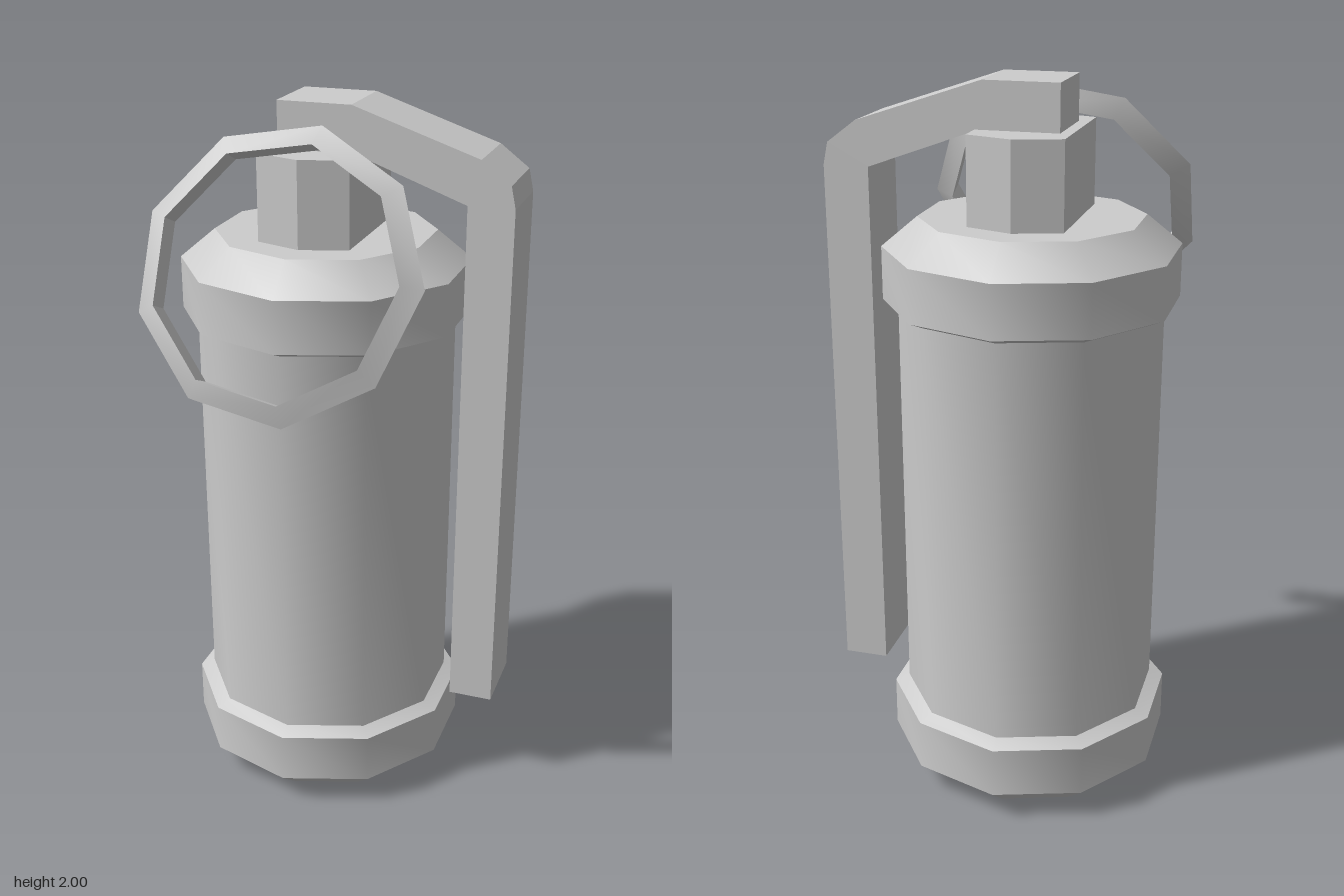
import * as THREE from 'three';
import { toCreasedNormals } from 'three/addons/utils/BufferGeometryUtils.js';

const CX = -0.083, CZ = -0.067; // canister axis
const CREASE = THREE.MathUtils.degToRad(37);

function polygon(points) {
  return new THREE.Shape(points.map(([x, y]) => new THREE.Vector2(x, y)));
}

function extrude(points, depth) {
  return new THREE.ExtrudeGeometry(polygon(points), { depth, bevelEnabled: false });
}

export function createModel() {
  const group = new THREE.Group();
  const grey = new THREE.MeshStandardMaterial({ color: 0xcccccc });
  grey.name = 'light grey metal';

  function add(name, geometry, x, y, z) {
    const mesh = new THREE.Mesh(geometry, grey);
    mesh.name = name;
    mesh.position.set(x, y, z);
    group.add(mesh);
    return mesh;
  }

  // Ten-sided canister with chamfered end collars
  const profile = [
    [0, 0], [0.308, 0], [0.403, 0.08], [0.403, 0.225], [0.362, 0.243],
    [0.362, 1.397], [0.403, 1.415], [0.403, 1.56], [0.306, 1.64], [0, 1.64],
  ].map(([r, y]) => new THREE.Vector2(r, y));
  add('canister', toCreasedNormals(new THREE.LatheGeometry(profile, 10), CREASE), CX, 0, CZ);

  // Fuse neck: a stretched hexagonal block
  const neck = extrude([
    [0, -0.217], [0.128, -0.177], [0.128, 0.177],
    [0, 0.217], [-0.128, 0.177], [-0.128, -0.177],
  ], 0.235);
  neck.rotateX(-Math.PI / 2);
  add('fuseNeck', neck, CX, 1.64, CZ);

  // Safety lever bent over the neck and down the side
  const lever = extrude([
    [-0.18, 1.875], [0.035, 1.875], [0.338, 1.765], [0.338, 0.287],
    [0.463, 0.287], [0.463, 1.765], [0.45, 1.825], [0.37, 1.885],
    [0.025, 2], [-0.18, 2],
  ], 0.207);
  add('safetyLever', lever, 0, 0, -0.17);

  // Tilted nine-sided pull ring with a triangular section
  const ring = toCreasedNormals(new THREE.TorusGeometry(0.352, 0.0375, 3, 9), CREASE);
  add('pullRing', ring, -0.085, 1.615, 0.296).rotation.x = THREE.MathUtils.degToRad(-24.6);

  return group;
}
